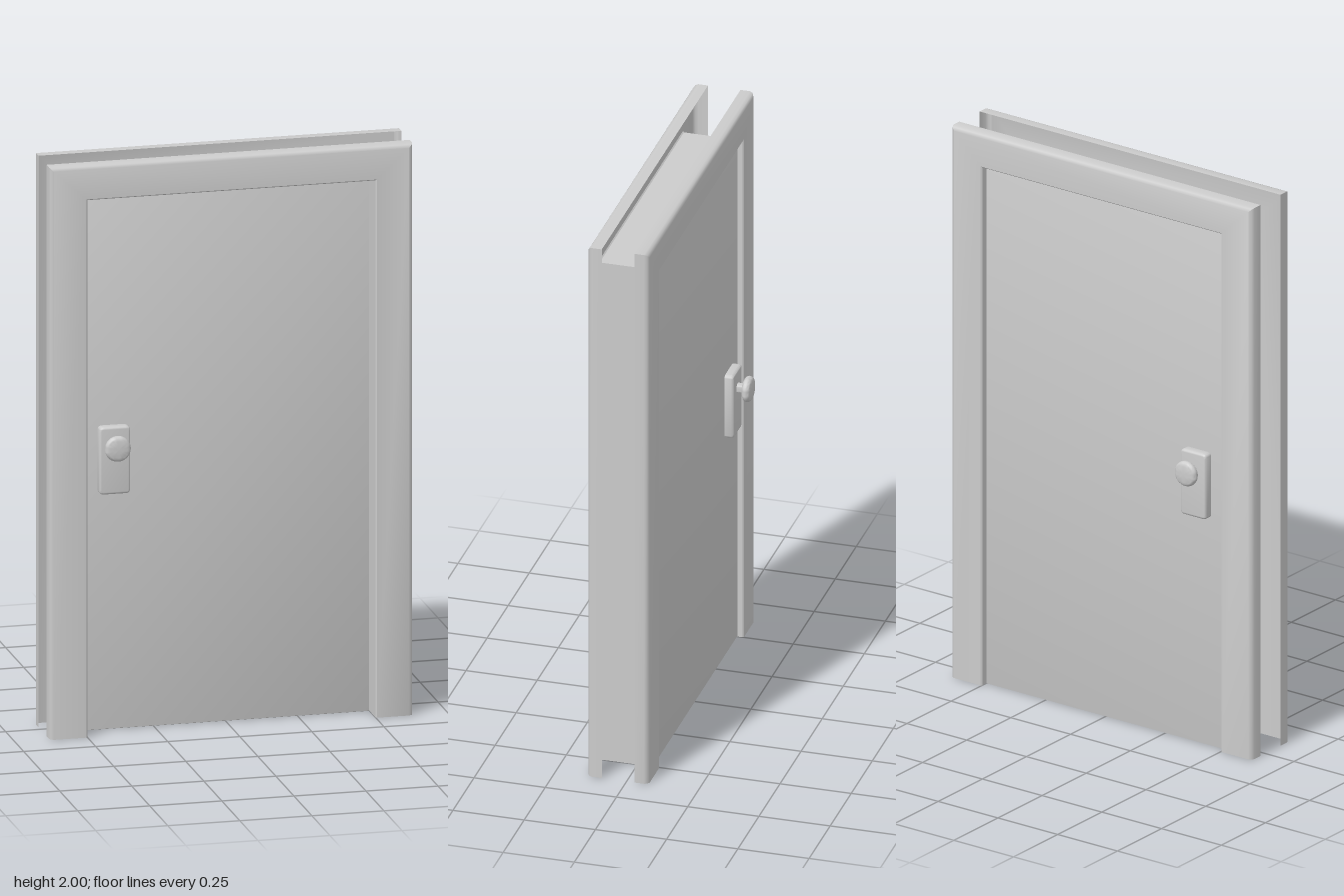
import * as THREE from 'three';
import { toCreasedNormals } from 'three/addons/utils/BufferGeometryUtils.js';

const grey = new THREE.MeshStandardMaterial({ color: 0xcccccc });
const greyThin = new THREE.MeshStandardMaterial({ color: 0xcccccc, side: THREE.DoubleSide });

const OPEN_X = 0.5, OPEN_Y = 1.88; // half width and height of the doorway
const SIDE_W = 0.13, TOP_W = 0.12; // casing widths
const DOOR_HALF = 0.057;           // half thickness of the door

function part(name, geometry, material = grey) {
  const mesh = new THREE.Mesh(geometry, material);
  mesh.name = name;
  return mesh;
}

// Upright slab with rounded corners and softened edges, centred on z
function slab(w, h, depth, corner, bevel, segments) {
  const s = new THREE.Shape(), x = w / 2, y = h / 2;
  s.moveTo(-x + corner, -y);
  s.lineTo(x - corner, -y);
  if (corner) s.quadraticCurveTo(x, -y, x, -y + corner);
  s.lineTo(x, y - corner);
  if (corner) s.quadraticCurveTo(x, y, x - corner, y);
  s.lineTo(-x + corner, y);
  if (corner) s.quadraticCurveTo(-x, y, -x, y - corner);
  s.lineTo(-x, -y + corner);
  if (corner) s.quadraticCurveTo(-x, -y, -x + corner, -y);
  const g = new THREE.ExtrudeGeometry(s, {
    depth: depth - 2 * bevel, curveSegments: 5, bevelEnabled: true,
    bevelSize: bevel, bevelThickness: bevel, bevelOffset: -bevel, bevelSegments: segments,
  });
  g.translate(0, 0, -(depth - 2 * bevel) / 2);
  return toCreasedNormals(g, 0.6);
}

// Hollow C-shaped frame section swept up one side, across the top and down the other
function frameGeometry() {
  // [distance out from the opening as a share of the casing width, z]
  const profile = [
    [1, 0.087], [1, 0.121], [0.97, 0.131], [0.89, 0.137], [0.03, 0.137], [0, 0.133],
    [0, -0.073], [0.03, -0.077], [0.89, -0.077], [0.97, -0.071], [1, -0.061], [1, -0.027],
  ];
  const stations = [[-1, 0], [-1, 1], [1, 1], [1, 0]]; // side, at the top or not
  const point = ([side, top], [out, z]) =>
    [side * (OPEN_X + out * SIDE_W), top * (OPEN_Y + out * TOP_W), z];
  const pos = [];
  for (let s = 0; s < 3; s++) {
    for (let p = 0; p < profile.length - 1; p++) {
      const a = point(stations[s], profile[p]), b = point(stations[s], profile[p + 1]);
      const c = point(stations[s + 1], profile[p + 1]), d = point(stations[s + 1], profile[p]);
      pos.push(...a, ...b, ...c, ...a, ...c, ...d);
    }
  }
  const g = new THREE.BufferGeometry();
  g.setAttribute('position', new THREE.Float32BufferAttribute(pos, 3));
  return toCreasedNormals(g, 0.7);
}

// Lock plate with a turned knob, facing +z from the door surface
function hardware(name) {
  const group = new THREE.Group();
  group.name = name;

  const plate = part('lockPlate', slab(0.108, 0.236, 0.04, 0.016, 0.008, 3));
  plate.position.set(0, -0.052, 0.011);
  group.add(plate);

  const profile = [[0.017, 0.025], [0.017, 0.05], [0.028, 0.052]];
  for (let i = 0; i <= 8; i++) { // rounded rim
    const a = -Math.PI / 2 + (i / 8) * Math.PI;
    profile.push([0.029 + 0.016 * Math.cos(a), 0.068 + 0.015 * Math.sin(a)]);
  }
  profile.push([0.015, 0.0845], [0, 0.085]);
  const knob = part('knob', toCreasedNormals(
    new THREE.LatheGeometry(profile.map(([r, y]) => new THREE.Vector2(r, y)), 32), 0.8));
  knob.rotation.x = Math.PI / 2;
  group.add(knob);
  return group;
}

export function createModel() {
  const model = new THREE.Group();
  model.name = 'door';

  model.add(part('frame', frameGeometry(), greyThin));

  // Door leaf
  const leaf = part('doorLeaf', slab(0.998, 1.878, DOOR_HALF * 2, 0, 0.008, 2));
  leaf.position.y = 0.939;
  model.add(leaf);

  // Matching hardware on both faces
  for (const side of [1, -1]) {
    const set = hardware(side > 0 ? 'frontHandle' : 'backHandle');
    set.position.set(-0.392, 1, side * DOOR_HALF);
    if (side < 0) set.rotation.y = Math.PI;
    model.add(set);
  }
  return model;
}
